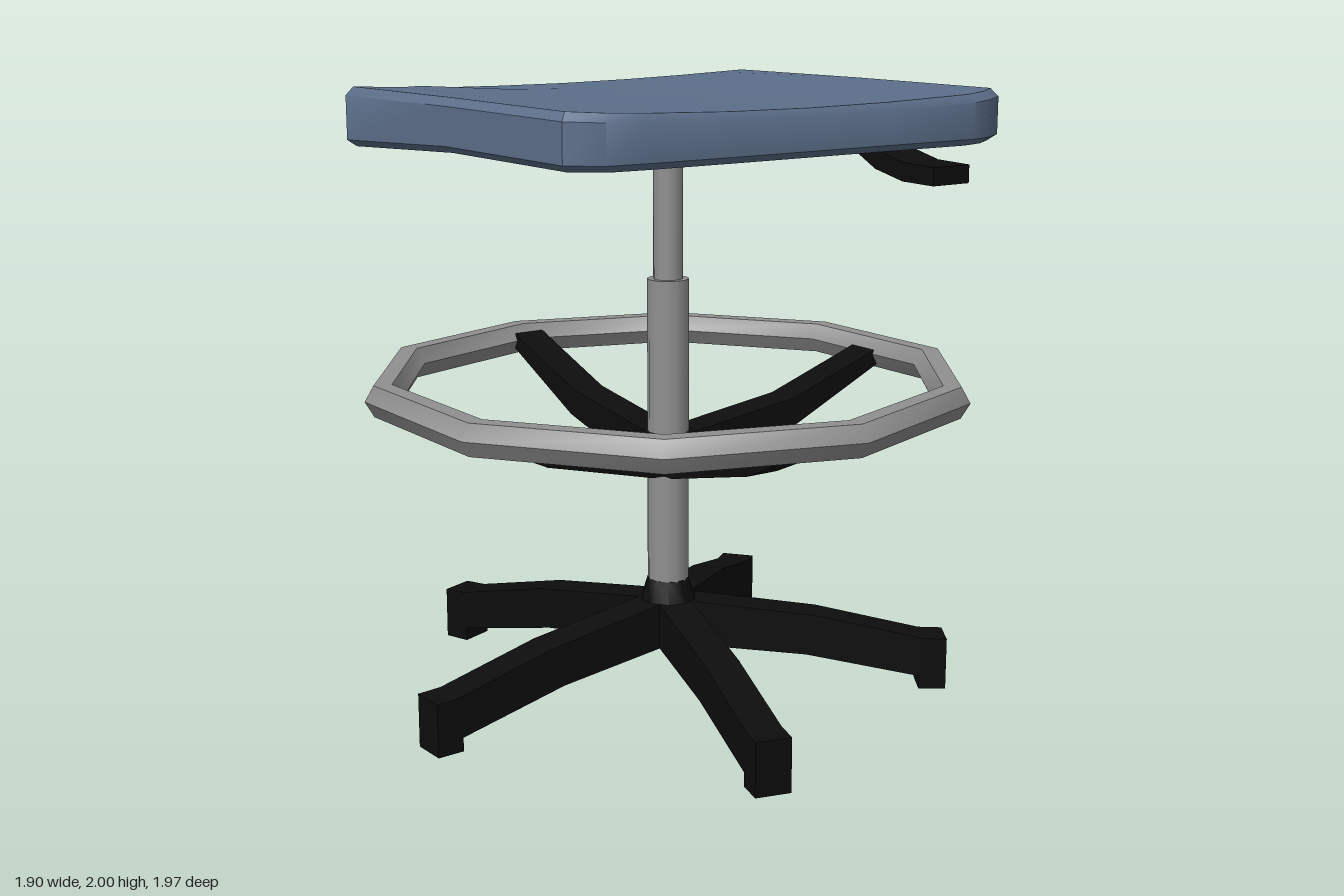
import * as THREE from 'three';
import { toCreasedNormals } from 'three/addons/utils/BufferGeometryUtils.js';

const rad = THREE.MathUtils.degToRad;
const paint = (name, color) => {
  const m = new THREE.MeshStandardMaterial({ color });
  m.name = name;
  return m;
};

// Side profile in x/y, given thickness in z
function slab(points, width) {
  const shape = new THREE.Shape(points.map(([x, y]) => new THREE.Vector2(x, y)));
  const g = new THREE.ExtrudeGeometry(shape, { depth: width, bevelEnabled: false });
  g.translate(0, 0, -width / 2);
  return toCreasedNormals(g, rad(35));
}

// Cushion: scaled copies of one outline, stacked from underside centre to top centre
function cushionGeometry() {
  const outline = [
    [-0.64, -0.79], [0, -0.795], [0.65, -0.80], [0.71, -0.71], [0.735, -0.62], [0.73, -0.3],
    [0.73, 0], [0.73, 0.3], [0.725, 0.59], [0.715, 0.71], [0.64, 0.80], [0, 0.80],
    [-0.635, 0.805], [-0.73, 0.68], [-0.785, 0.55], [-0.765, 0.3], [-0.75, 0],
    [-0.735, -0.3], [-0.73, -0.57], [-0.73, -0.66],
  ];
  const fall = (x) => Math.max(0, -x - 0.6);
  const under = (x) => 1.838 - 0.03 * THREE.MathUtils.smoothstep(-x, 0.35, 0.62);
  const top = (x, z) => 1.98 + 0.02 * Math.min(1, (z / 0.76) ** 2) - 0.18 * fall(x);
  const rings = [
    [0, under], [0.55, under], [0.97, under],
    [1, (x) => under(x) + 0.02],
    [1, (x, z) => top(x, z) - 0.025],
    [0.975, top], [0.82, top], [0.45, top], [0, top],
  ];
  const n = outline.length;
  const pos = [], idx = [];
  for (const [s, height] of rings) {
    for (const [x, z] of outline) pos.push(x * s, height(x * s, z * s), z * s);
  }
  for (let r = 0; r < rings.length - 1; r++) {
    for (let i = 0; i < n; i++) {
      const j = (i + 1) % n;
      const a = r * n + i, b = r * n + j, c = b + n, d = a + n;
      if (rings[r][0] > 0) idx.push(a, d, b);
      if (rings[r + 1][0] > 0) idx.push(b, d, c);
    }
  }
  const g = new THREE.BufferGeometry();
  g.setAttribute('position', new THREE.Float32BufferAttribute(pos, 3));
  g.setIndex(idx);
  return toCreasedNormals(g, rad(38));
}

export function createModel() {
  const model = new THREE.Group();
  model.name = 'stool';
  const blue = paint('seat blue', 0x5c6f8a);
  const grey = paint('metal grey', 0x909090);
  const black = paint('plastic black', 0x0d0d0d);

  const add = (name, geometry, material, parent = model) => {
    const m = new THREE.Mesh(geometry, material);
    m.name = name;
    parent.add(m);
    return m;
  };
  const tube = (r, y0, y1) => new THREE.CylinderGeometry(r, r, y1 - y0, 12).translate(0, (y0 + y1) / 2, 0);

  // Seat with its height lever, turned on the column
  const seat = new THREE.Group();
  seat.name = 'seat';
  seat.rotation.y = -rad(20);
  model.add(seat);
  add('cushion', cushionGeometry(), blue, seat);
  const lever = add('heightLever', slab([
    [0.133, 1.79], [0.27, 1.79], [0.37, 1.74], [0.5, 1.712], [0.64, 1.71],
    [0.64, 1.768], [0.5, 1.772], [0.4, 1.795], [0.3, 1.843], [0.133, 1.843],
  ], 0.15), black, seat);
  lever.position.z = -0.62;

  // Gas lift column
  add('lowerColumn', tube(0.068, 0.34, 1.39), grey);
  add('upperColumn', tube(0.048, 1.38, 1.845), grey);

  // Foot ring and its four arms
  const ring = new THREE.TorusGeometry(0.93, 0.058, 6, 10);
  ring.rotateX(Math.PI / 2).rotateY(-rad(20)).translate(0, 1.05, 0);
  add('footRing', toCreasedNormals(ring, rad(50)), grey);
  const armGeometry = slab([
    [0, 0.75], [0.1, 0.752], [0.5, 0.85], [0.9, 1.035],
    [0.87, 1.075], [0.48, 0.94], [0.08, 0.885], [0, 0.885],
  ], 0.115);
  for (let i = 0; i < 4; i++) {
    add('ringArm', armGeometry, black).rotation.y = -rad(20 + 90 * i);
  }
  add('ringHub', tube(0.082, 0.752, 0.887), black);

  // Five-legged base
  const legGeometry = slab([
    [0, 0.165], [0.07, 0.165], [0.46, 0.125], [0.84, 0.045], [0.84, 0.0], [0.93, 0.0],
    [0.93, 0.175], [0.85, 0.178], [0.5, 0.26], [0.1, 0.312], [0, 0.32],
  ], 0.115);
  for (let i = 0; i < 5; i++) {
    add('baseLeg', legGeometry, black).rotation.y = -rad(180 + 72 * i);
  }
  const hub = [[0, 0.165], [0.09, 0.165], [0.1, 0.29], [0.07, 0.385], [0, 0.385]];
  const hubGeometry = new THREE.LatheGeometry(hub.map(([x, y]) => new THREE.Vector2(x, y)), 10);
  add('baseHub', toCreasedNormals(hubGeometry, rad(40)), black);

  return model;
}
